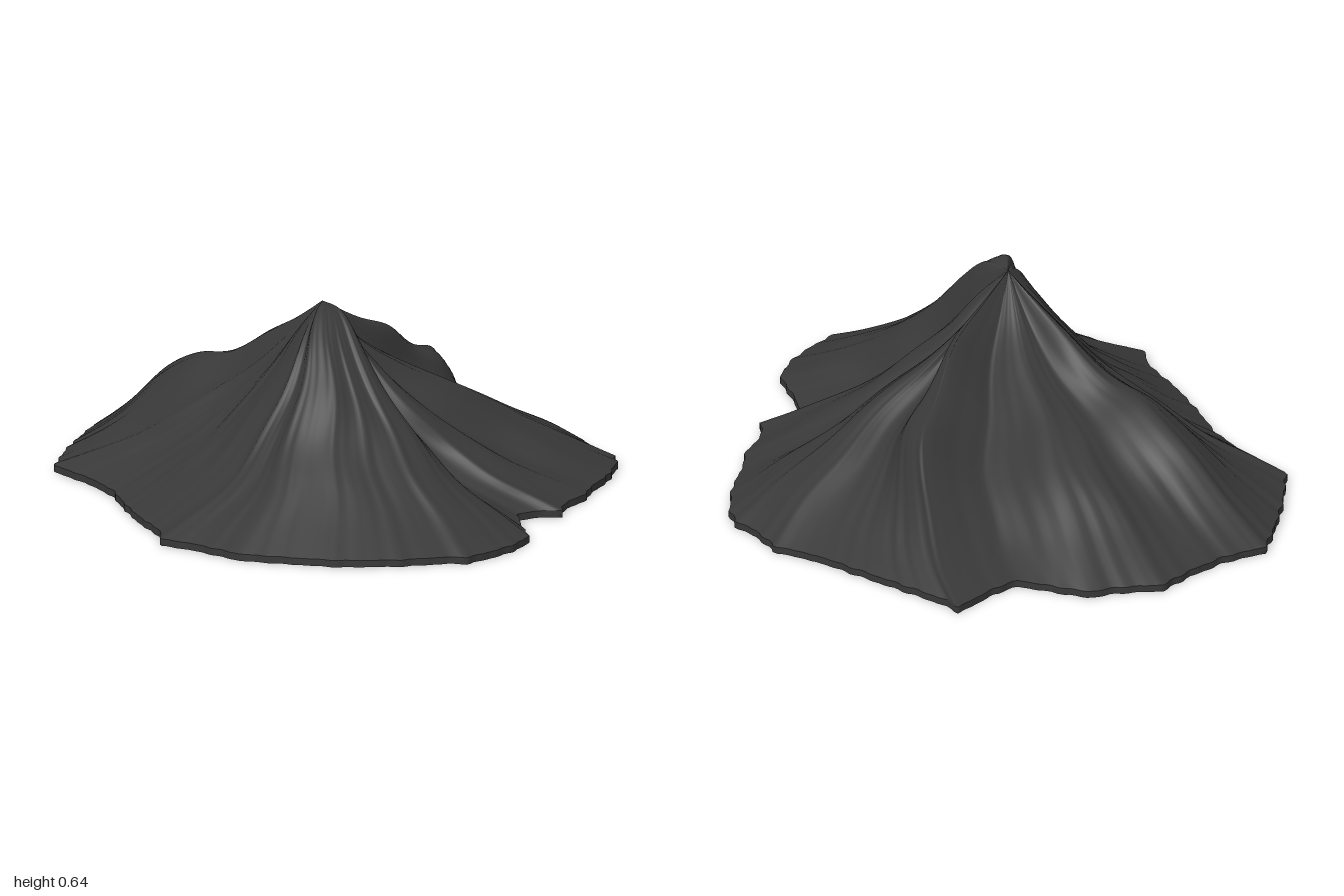
import * as THREE from 'three';

const CX = -0.12, CZ = 0.07, RIM_H = 0.022;

// Outline of the foot, as x, z pairs
const RIM = [
  .85, 0, .89, .14, .85, .25, .84, .35, .8, .41, .68, .51, .52, .6, .48, .64, .34, .69, .28, .75,
  .23, .71, .15, .69, .07, .8, 0, .92, -.09, .965, -.18, .985, -.32, .995, -.36, .95, -.5, .88,
  -.65, .76, -.75, .62, -.83, .5, -.86, .3, -.895, .2, -.83, .12, -.77, -.05, -.7, -.2, -.62, -.35,
  -.58, -.5, -.56, -.7, -.4, -.83, -.25, -.93, -.13, -1, 0, -.95, .15, -.935, .28, -.94, .38, -.85,
  .47, -.8, .52, -.68, .56, -.58, .65, -.565, .82, -.57, .81, -.5, .835, -.2,
];

// Spurs and gullies: direction in degrees, sideways bow, then heights from summit to foot
const STEPS = [0, .12, .25, .4, .55, .7, .85, 1];
const SPURS = [
  [-160, 0, .55, .44, .32, .22, .15, .08],
  [-120, 0, .52, .41, .31, .22, .14, .08],
  [-90, .01, .55, .48, .39, .35, .27, .13],
  [-76, .02, .50, .41, .335, .28, .20, .10],
  [-60, .03, .51, .43, .36, .295, .225, .12],
  [-44, .08, .49, .38, .285, .205, .14, .07],
  [-34.7, .18, .55, .49, .39, .335, .215, .10],
  [-6, .09, .50, .40, .31, .23, .155, .085],
  [8, .05, .50, .42, .345, .27, .19, .115],
  [22, .02, .50, .405, .32, .24, .165, .09],
  [36, 0, .49, .37, .27, .19, .12, .07],
  [52, .02, .53, .42, .315, .22, .145, .08],
  [67, .03, .55, .41, .285, .19, .12, .07],
  [100, 0, .62, .52, .375, .265, .175, .095],
  [138, -.02, .635, .565, .44, .305, .205, .11],
  [171, -.08, .59, .505, .365, .24, .155, .085],
].map(([deg, bow, ...h]) => ({
  deg, bow,
  curve: new THREE.SplineCurve([.632, ...h, RIM_H].map((y, i) => new THREE.Vector2(STEPS[i], y))),
}));

// The two spurs beside a direction, and the blend between them
function neighbours(deg) {
  const n = SPURS.length;
  const d = ((deg - SPURS[0].deg) % 360 + 360) % 360 + SPURS[0].deg;
  let i = n - 1;
  while (SPURS[i].deg > d) i--;
  const a = SPURS[i], b = SPURS[(i + 1) % n];
  const span = (b.deg - a.deg + 360) % 360;
  return { a, b, k: THREE.MathUtils.smoothstep((d - a.deg) / span, 0, 1) };
}

// Evenly spaced foot points with a slightly ragged edge
function footPoints(count) {
  const pts = [];
  for (let i = 0; i < RIM.length; i += 2) pts.push(new THREE.Vector2(RIM[i], RIM[i + 1]));
  pts.push(pts[0].clone());
  const path = new THREE.CurvePath();
  for (let i = 0; i < pts.length - 1; i++) path.add(new THREE.LineCurve(pts[i], pts[i + 1]));
  return Array.from({ length: count }, (_, j) => {
    const p = path.getPoint(j / count);
    const s = 1 + .003 * Math.sin(j * 1.13) + .003 * Math.sin(j * 1.71 + 1);
    return new THREE.Vector2((p.x - CX) * s, (p.y - CZ) * s);
  });
}

// Surface from closed rings of equal length
function ringSurface(rings) {
  const n = rings[0].length, pos = [], idx = [];
  rings.forEach(r => r.forEach(p => pos.push(p.x, p.y, p.z)));
  for (let i = 0; i < rings.length - 1; i++) {
    for (let j = 0; j < n; j++) {
      const k = (j + 1) % n;
      const a = i * n + j, b = a + n, c = (i + 1) * n + k, d = i * n + k;
      idx.push(a, d, c, a, c, b);
    }
  }
  const g = new THREE.BufferGeometry();
  g.setAttribute('position', new THREE.Float32BufferAttribute(pos, 3));
  g.setIndex(idx);
  g.computeVertexNormals();
  return g;
}

export function createModel() {
  const group = new THREE.Group();
  group.name = 'mountain';
  const rock = new THREE.MeshStandardMaterial({ color: 0x393939, side: THREE.DoubleSide });

  // one ray from summit to foot per foot point
  const rays = footPoints(320).map(p => {
    const ang = Math.atan2(p.y, p.x);
    return { p, ang, ...neighbours(THREE.MathUtils.radToDeg(ang)) };
  });

  const rows = 56;
  const rings = [];
  for (let i = 0; i <= rows; i++) {
    const u = Math.max(i / rows, .002);
    const t = SPURS[0].curve.getPoint(u).x;
    const mid = 4 * t * (1 - t);
    rings.push(rays.map(({ p, ang, a, b, k }) => {
      // spurs bow and wander sideways on their way down
      const side = mid * (THREE.MathUtils.lerp(a.bow, b.bow, k) + .008 * Math.sin(t * 16 + 2 * ang));
      const x = CX + p.x * t - Math.sin(ang) * side;
      const z = CZ + p.y * t + Math.cos(ang) * side;
      const y = THREE.MathUtils.lerp(a.curve.getPoint(u).y, b.curve.getPoint(u).y, k);
      // fine erosion gullies
      const gully = .003 * Math.sin(ang * 19 + 6 * t) + .002 * Math.sin(ang * 31 - 9 * t);
      return new THREE.Vector3(x, y + mid * mid * gully, z);
    }));
  }
  const slopes = new THREE.Mesh(ringSurface(rings), rock);
  slopes.name = 'slopes';

  // low vertical edge around the foot
  const top = rings[rows];
  const edge = new THREE.Mesh(ringSurface([top, top.map(p => new THREE.Vector3(p.x, 0, p.z))]), rock);
  edge.name = 'footEdge';

  group.add(slopes, edge);
  return group;
}
